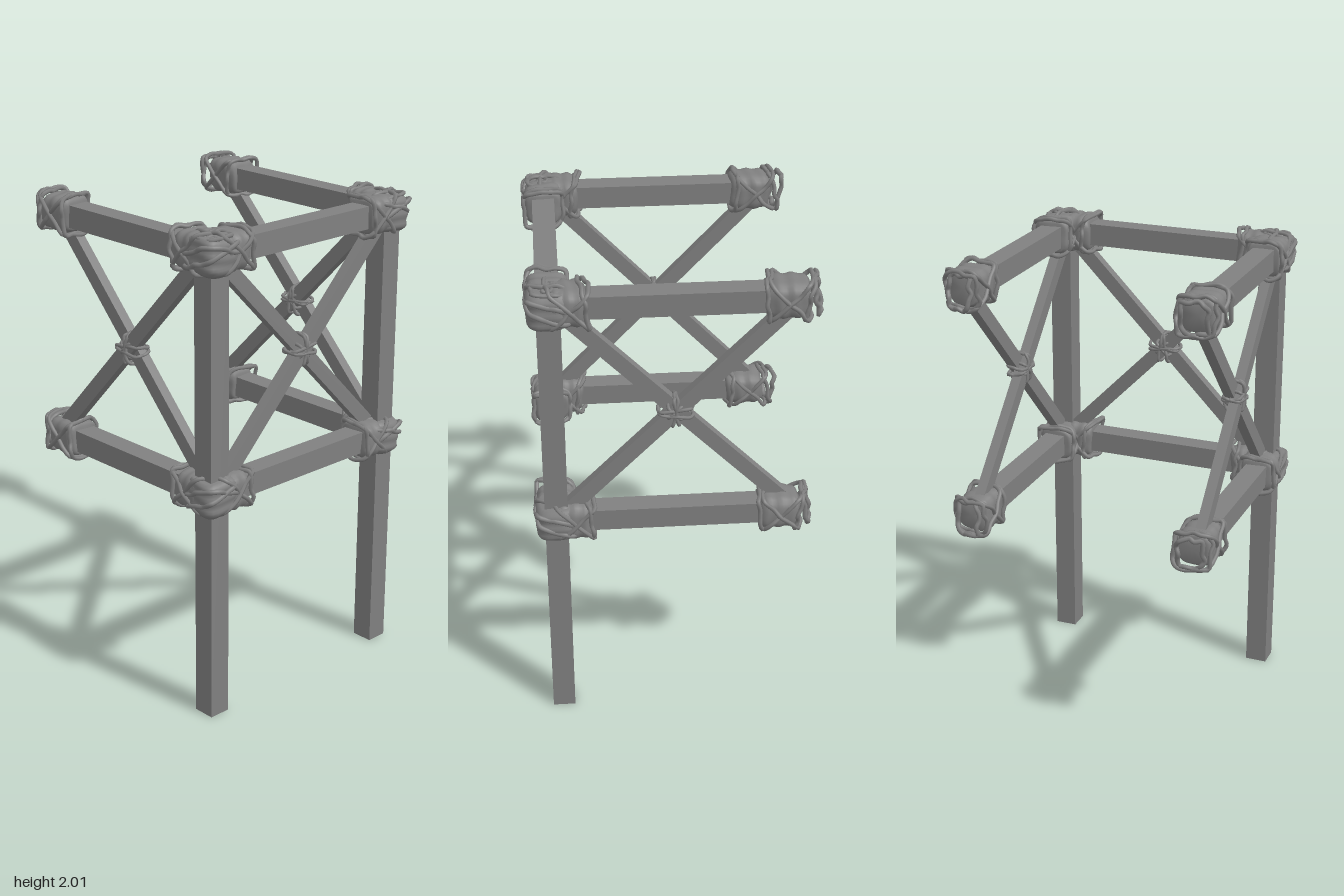
import * as THREE from 'three';
import { mergeVertices } from 'three/addons/utils/BufferGeometryUtils.js';

const wood = new THREE.MeshStandardMaterial({ color: 0x808080 });
wood.name = 'grey';

const LEVELS = [0.96, 1.918];
const SIZE = 0.092;

function add(parent, geometry, name, x = 0, y = 0, z = 0) {
  const mesh = new THREE.Mesh(geometry, wood);
  mesh.name = name;
  mesh.position.set(x, y, z);
  parent.add(mesh);
  return mesh;
}

// Point on a rounded square outline
function outline(angle, half, power = 4) {
  const c = Math.cos(angle), s = Math.sin(angle);
  const r = half / Math.pow(Math.abs(c) ** power + Math.abs(s) ** power, 1 / power);
  return [c * r, s * r];
}

// Lumpy wrapped binding, running along y
function wrapGeometry(length, half, seed) {
  const g = new THREE.CylinderGeometry(1, 1, length, 28, 14);
  g.deleteAttribute('uv');
  g.deleteAttribute('normal');
  const p = g.attributes.position;
  for (let i = 0; i < p.count; i++) {
    const x = p.getX(i), z = p.getZ(i), y = p.getY(i);
    if (Math.hypot(x, z) < 0.01) continue;
    const a = Math.atan2(z, x), t = (2 * y) / length;
    const taper = 1 - 0.22 * Math.abs(t) ** 5;
    const lump = 1 + 0.035 * Math.sin(t * 9 + Math.sin(a + seed) * 1.5 + seed) + 0.025 * Math.sin(3 * a + seed);
    const [ox, oz] = outline(a, half * taper * lump);
    p.setXYZ(i, ox, y + 0.004 * Math.sin(2 * a + seed), oz);
  }
  const merged = mergeVertices(g, 1e-5);
  merged.computeVertexNormals();
  return merged;
}

// Closed rope around the y axis; tilt slides it along y across the section
function ropeGeometry(half, tiltX, tiltZ, radius = 0.009, wobble = 0.004, seed = 0, halfZ = half) {
  const pts = [];
  for (let i = 0; i < 16; i++) {
    const a = (i / 16) * Math.PI * 2;
    const [x, z] = outline(a, 1, 5);
    const w = wobble * Math.sin(i * 2.4 + seed);
    pts.push(new THREE.Vector3(x * (half + w), tiltX * x + tiltZ * z + w, z * (halfZ + w)));
  }
  const curve = new THREE.CatmullRomCurve3(pts, true);
  return new THREE.TubeGeometry(curve, 56, radius, 6, true);
}

// Binding around the end of a beam lying on local x, with crossed ropes
function beamBinding(parent, x, y, inward, free, seed) {
  const g = new THREE.Group();
  g.name = 'beamBinding';
  g.position.set(x, y, 0);
  g.rotation.z = -inward * Math.PI / 2; // local y now points inward
  parent.add(g);
  const from = free ? -0.02 : 0, to = 0.14;
  add(g, wrapGeometry(to - from, free ? 0.073 : 0.077, seed), 'beamWrap', 0, (from + to) / 2, 0);
  const mid = free ? 0.045 : 0.07;
  for (const s of [-1, 1])
    add(g, ropeGeometry(0.078, s * 0.078, 0.01, 0.009, 0.004, seed + s), 'crossedRope', 0, mid, 0);
  add(g, ropeGeometry(0.079, 0.008, 0.012, 0.009, 0.004, seed), 'endRope', 0, 0.127, 0);
  if (free) {
    // Slack loops hanging past the end of the beam
    add(g, ropeGeometry(0.066, 0.012, 0.01, 0.01, 0.005, seed, 0.05), 'slackRope', 0, -0.055, 0);
    add(g, ropeGeometry(0.074, -0.015, 0.014, 0.009, 0.005, seed + 2), 'slackRope', 0, -0.03, 0);
  }
}

// Diagonal bar in a panel
function brace(parent, x0, y0, x1, y1, z) {
  const length = Math.hypot(x1 - x0, y1 - y0);
  const bar = add(parent, new THREE.BoxGeometry(length, 0.06, 0.042), 'brace', (x0 + x1) / 2, (y0 + y1) / 2, z);
  bar.rotation.z = Math.atan2(y1 - y0, x1 - x0);
}

// One side of the frame: two rails, crossed braces and bindings
function panel(x0, x1, free0, free1, name) {
  const g = new THREE.Group();
  g.name = name;
  const mid = (x0 + x1) / 2;
  LEVELS.forEach((y, i) => {
    const a = x0 + (free0 ? 0.01 : 0), b = x1 - (free1 ? 0.01 : 0);
    add(g, new THREE.BoxGeometry(b - a, SIZE, SIZE - 0.002), 'rail', (a + b) / 2, y, 0);
    beamBinding(g, x0, y, 1, free0, i * 2.1 + 0.5);
    beamBinding(g, x1, y, -1, free1, i * 1.7 + 3);
  });
  brace(g, x0 + 0.025, 1.9, x1 - 0.025, 0.985, -0.012);
  brace(g, x0 + 0.025, 0.985, x1 - 0.025, 1.9, 0.012);

  // Lashing at the crossing
  const lash = new THREE.Group();
  lash.name = 'crossLashing';
  lash.position.set(mid, 1.44, 0);
  g.add(lash);
  for (const s of [-1, 1]) {
    add(lash, ropeGeometry(0.066, s * 0.008, s * 0.006, 0.007, 0.002, s, 0.038), 'lashRope', 0, s * 0.007, 0);
    const upright = add(lash, ropeGeometry(0.062, s * 0.01, s * 0.006, 0.007, 0.002, s + 1, 0.038), 'lashRope', s * 0.007, 0, 0);
    upright.rotation.z = Math.PI / 2;
    const slant = add(lash, ropeGeometry(0.04, 0, s * 0.006, 0.007, 0.001, s, 0.036), 'lashRope');
    slant.rotation.z = s * Math.PI / 4;
  }
  return g;
}

export function createModel() {
  const model = new THREE.Group();
  model.name = 'lashedFrame';
  const LEFT = 0.463, RIGHT = -0.485, FRONT = 0.463;

  // Posts with their bindings
  [RIGHT, LEFT].forEach((x, k) => {
    add(model, new THREE.BoxGeometry(SIZE, 1.95, SIZE), 'post', x, 0.975, FRONT);
    LEVELS.forEach((y, i) => {
      const joint = new THREE.Group();
      joint.name = 'postBinding';
      joint.position.set(x, y - 0.004, FRONT);
      model.add(joint);
      const seed = k * 2.3 + i * 1.3;
      add(joint, wrapGeometry(0.145, 0.08, seed), 'postWrap');
      add(joint, ropeGeometry(0.079, 0.03, 0.025, 0.01, 0.004, seed), 'postRope');
      add(joint, ropeGeometry(0.079, -0.025, 0.03, 0.01, 0.004, seed + 2), 'postRope');
      if (i === 1) {
        // Coils over the post head
        add(joint, ropeGeometry(0.06, 0.003, 0.003, 0.009, 0.003, seed), 'headRope', 0, 0.068, 0);
        add(joint, ropeGeometry(0.036, 0.002, -0.002, 0.008, 0.002, seed, 0.018), 'headRope', 0, 0.073, 0);
      }
    });
  });

  const front = panel(RIGHT, LEFT, false, false, 'frontPanel');
  front.position.z = FRONT;

  const right = panel(-0.455, FRONT, true, false, 'rightPanel');
  right.position.x = RIGHT;
  right.rotation.y = -Math.PI / 2;

  const left = panel(-FRONT, 0.485, false, true, 'leftPanel');
  left.position.x = LEFT;
  left.rotation.y = Math.PI / 2;

  model.add(front, right, left);
  return model;
}
